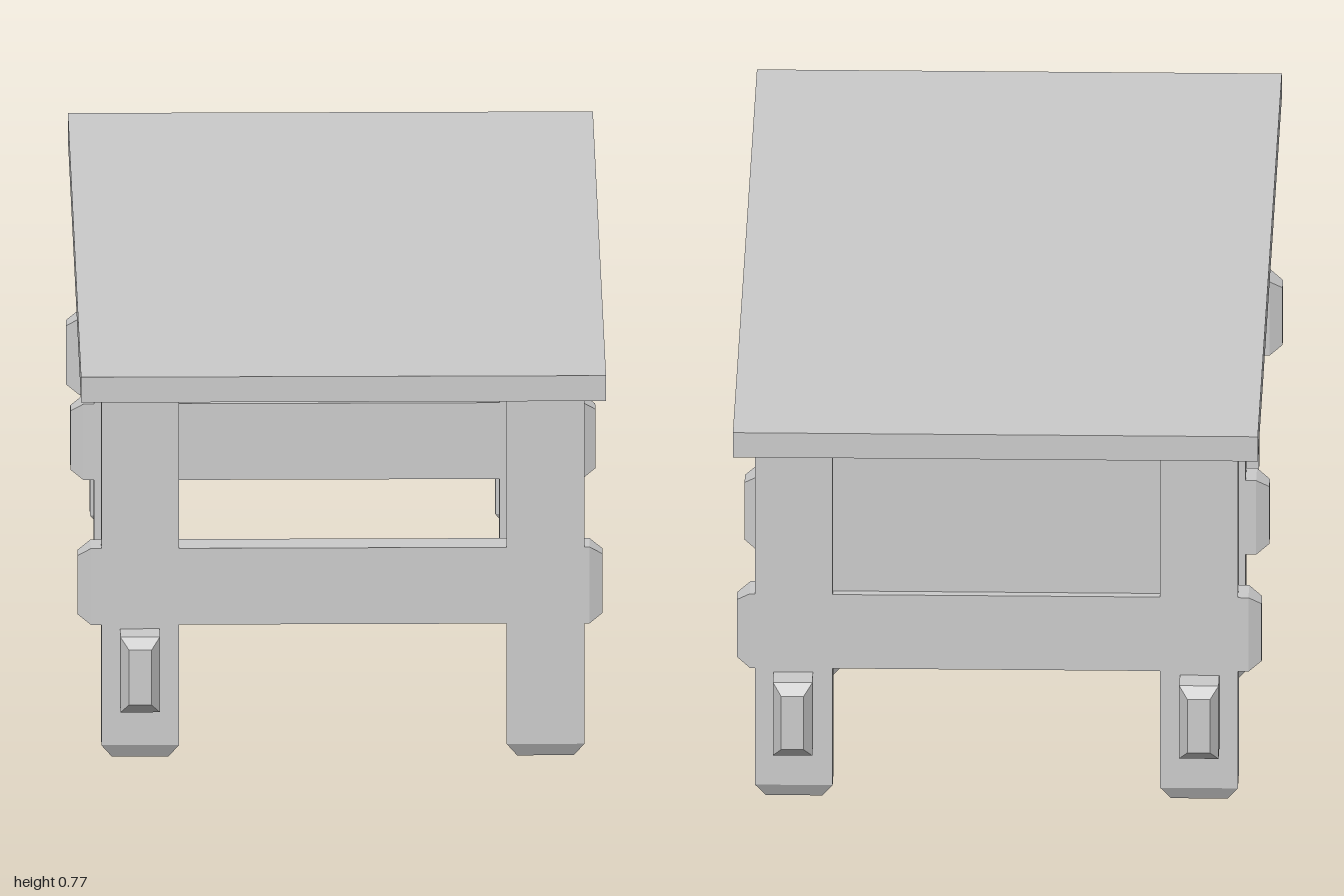
import * as THREE from 'three';

const material = new THREE.MeshStandardMaterial({ color: 0xcccccc });

function add(group, name, geometry, x, y, z) {
  const mesh = new THREE.Mesh(geometry, material);
  mesh.name = name;
  mesh.position.set(x, y, z);
  group.add(mesh);
  return mesh;
}

// Bar along y with its ends tapered: ends are [chamfer length, x inset, z inset]
function beam(w, length, d, bottom, top) {
  const g = new THREE.BoxGeometry(w, length, d, 1, 3, 1);
  const p = g.attributes.position;
  const h = length / 2;
  for (let i = 0; i < p.count; i++) {
    const y = p.getY(i);
    const end = y > 0 ? top : bottom;
    if (!end) continue;
    if (Math.abs(y) > h - 1e-4) {
      p.setX(i, p.getX(i) - Math.sign(p.getX(i)) * end[1]);
      p.setZ(i, p.getZ(i) - Math.sign(p.getZ(i)) * end[2]);
    } else {
      p.setY(i, Math.sign(y) * (h - end[0]));
    }
  }
  const flat = g.toNonIndexed();
  flat.computeVertexNormals();
  return flat;
}

export function createModel() {
  const desk = new THREE.Group();
  desk.name = 'desk';

  add(desk, 'tableTop', new THREE.BoxGeometry(1, 0.05, 2), 0, 0.75, 0);

  // Three trestle frames: two legs joined by a crossbar whose ends poke through
  const legGeometry = beam(0.148, 0.725, 0.07, [0.026, 0.02, 0.014], null);
  const barGeometry = beam(0.15, 1, 0.07, [0.025, 0.017, 0.014], [0.025, 0.017, 0.014]);
  barGeometry.rotateZ(Math.PI / 2);
  const frames = [['front', 0.87], ['middle', -0.225], ['back', -0.87]];
  for (const [label, z] of frames) {
    const trestle = new THREE.Group();
    trestle.name = label + 'Trestle';
    add(trestle, 'leftLeg', legGeometry, 0.386, 0.3625, z);
    add(trestle, 'rightLeg', legGeometry, -0.386, 0.3625, z);
    add(trestle, 'crossbar', barGeometry, -0.005, 0.338, z);
    desk.add(trestle);
  }

  // Lengthwise rails: full length on the right, cabinet length on the left
  function rail(name, x, z0, z1) {
    const end = [0.022, 0.016, 0.02];
    const g = beam(0.075, z1 - z0, 0.148, end, end);
    g.rotateX(Math.PI / 2);
    add(desk, name, g, x, 0.181, (z0 + z1) / 2);
  }
  rail('rightRail', -0.387, -0.985, 0.99);
  rail('leftRail', 0.387, -0.985, -0.105);

  // Cabinet panels
  const cabinet = new THREE.Group();
  cabinet.name = 'cabinet';
  desk.add(cabinet);
  const endPanel = new THREE.BoxGeometry(0.624, 0.312, 0.03);
  add(cabinet, 'middlePanel', endPanel, 0, 0.569, -0.225);
  add(cabinet, 'backPanel', endPanel, 0, 0.569, -0.87);
  add(cabinet, 'sidePanel', new THREE.BoxGeometry(0.025, 0.47, 0.575), -0.387, 0.49, -0.5475);

  // Drawer frame with two open bays, drawn in (-z, y) and turned to face +x
  const shape = new THREE.Shape();
  const rect = (path, a0, y0, a1, y1) =>
    path.moveTo(a0, y0).lineTo(a1, y0).lineTo(a1, y1).lineTo(a0, y1).closePath();
  rect(shape, 0.26, 0.255, 0.835, 0.725);
  for (const [y0, y1] of [[0.29, 0.485], [0.505, 0.7]]) {
    const hole = new THREE.Path();
    rect(hole, 0.305, y0, 0.79, y1);
    shape.holes.push(hole);
  }
  const frame = new THREE.ExtrudeGeometry(shape, { depth: 0.025, bevelEnabled: false });
  frame.rotateY(Math.PI / 2);
  add(cabinet, 'drawerFrame', frame, 0.375, 0, 0);

  return desk;
}
